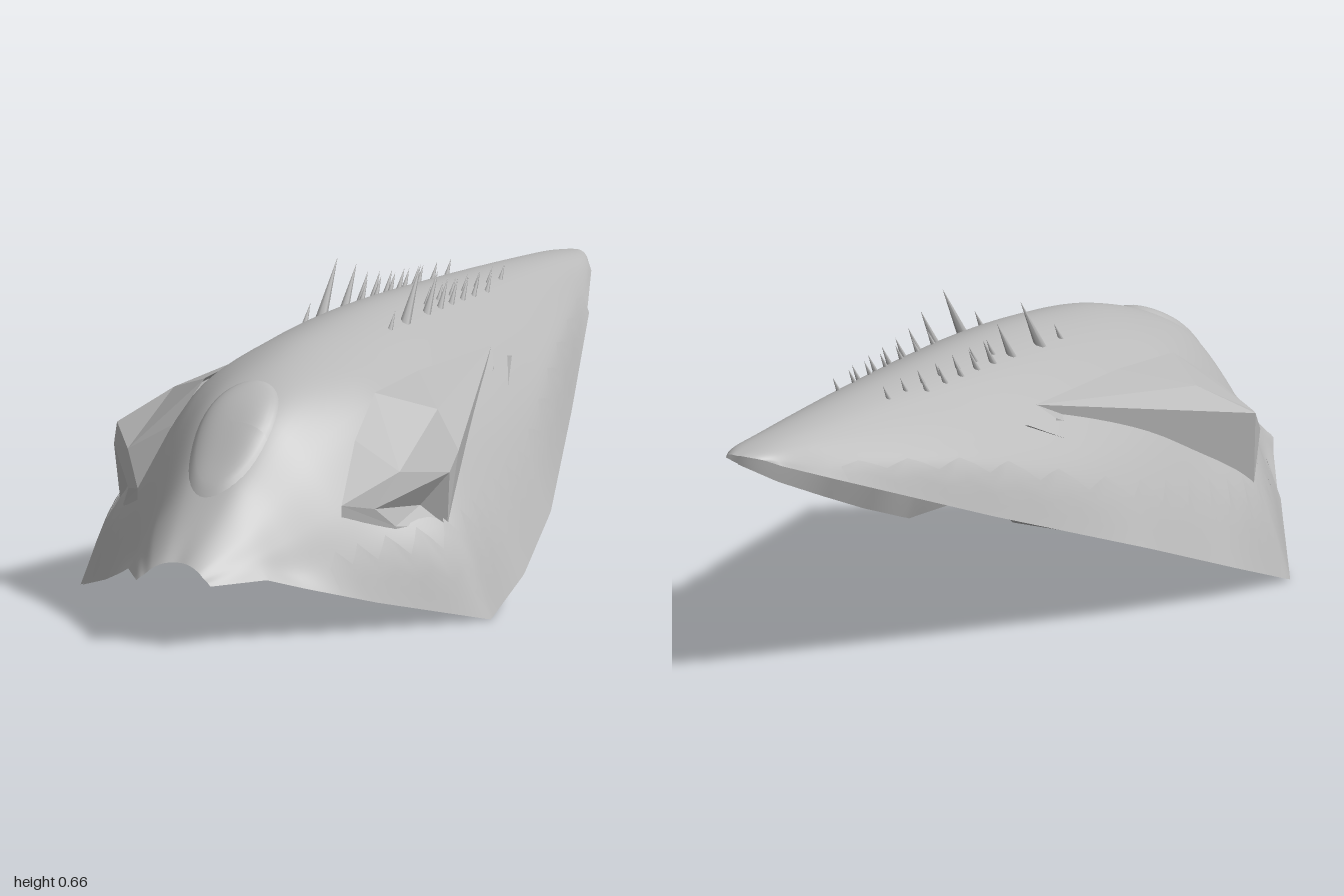
import * as THREE from 'three';

const grey = new THREE.MeshStandardMaterial({ color: 0xb8b8b8, side: THREE.DoubleSide });
grey.name = 'hull grey';

// Hull half sections from nose to tail: z, ridge y, then five x,y pairs out to the rim
const SECTIONS = [
  [1, .175, .03, .172, .055, .16, .07, .147, .08, .14, .087, .133],
  [.88, .262, .05, .255, .1, .22, .13, .18, .147, .155, .163, .133],
  [.8, .335, .06, .325, .12, .27, .165, .2, .195, .14, .22, .105],
  [.66, .462, .08, .445, .16, .37, .235, .26, .285, .16, .32, .06],
  [.44, .54, .1, .515, .2, .45, .3, .31, .4, .18, .477, 0],
  [.25, .565, .1, .54, .2, .47, .3, .36, .395, .21, .465, .065],
  [0, .578, .1, .55, .2, .475, .3, .365, .355, .275, .41, .155],
  [-.4, .565, .07, .55, .13, .51, .19, .455, .235, .4, .27, .295],
  [-.8, .543, .04, .537, .07, .52, .09, .5, .108, .475, .125, .445],
  [-.93, .533, .025, .531, .042, .526, .055, .518, .064, .508, .072, .495],
  [-1, .524, .012, .524, .022, .522, .032, .519, .042, .515, .05, .51],
];

// Lengthwise curves for each column of the half section; the rim itself has straight edges
const columns = [0, 1, 2, 3, 4, 5].map(k => {
  const pts = SECTIONS.map(s => {
    const x = k ? s[2 * k] : 0, y = k ? s[2 * k + 1] : s[1];
    const z = s[0] === 1 ? .98 + .23 * x : s[0] === -1 ? -1 + 16 * x * x : s[0];
    return new THREE.Vector3(x, y, z);
  });
  if (k < 5) return new THREE.CatmullRomCurve3(pts);
  return {
    getPoint(v) {
      const f = v * (pts.length - 1), i = Math.min(Math.floor(f), pts.length - 2);
      return pts[i].clone().lerp(pts[i + 1], f - i);
    },
  };
});

// Full cross curve at lengthwise position v (0 nose, 1 tail)
function crossCurve(v) {
  const half = columns.map(c => c.getPoint(v));
  const mirrored = half.slice(1).reverse().map(p => new THREE.Vector3(-p.x, p.y, p.z));
  return new THREE.CatmullRomCurve3([...mirrored, ...half]);
}
const hullPoint = (u, v) => crossCurve(v).getPoint((u + 1) / 2);

function bisect(test) {
  let a = 0, b = 1;
  for (let i = 0; i < 22; i++) {
    const m = (a + b) / 2;
    if (test(m)) a = m; else b = m;
  }
  return (a + b) / 2;
}
const vAtZ = z => bisect(v => columns[0].getPoint(v).z > z);
function hullY(x, z) {
  const curve = crossCurve(vAtZ(z));
  return curve.getPoint(bisect(t => curve.getPoint(t).x < x)).y;
}

// Smooth grid surface from fn(i / rows, j / cols)
function gridSurface(rows, cols, fn) {
  const pos = [], index = [];
  for (let i = 0; i <= rows; i++) {
    for (let j = 0; j <= cols; j++) {
      pos.push(...fn(i / rows, j / cols).toArray());
      if (i < rows && j < cols) {
        const a = i * (cols + 1) + j, c = a + cols + 1;
        index.push(a, a + 1, c, a + 1, c + 1, c);
      }
    }
  }
  const g = new THREE.BufferGeometry();
  g.setAttribute('position', new THREE.Float32BufferAttribute(pos, 3));
  g.setIndex(index);
  g.computeVertexNormals();
  return g;
}

// Flat faces from corner lists, each fanned into triangles
function facets(faces) {
  const pos = [];
  for (const f of faces)
    for (let i = 1; i < f.length - 1; i++) pos.push(...f[0], ...f[i], ...f[i + 1]);
  const g = new THREE.BufferGeometry();
  g.setAttribute('position', new THREE.Float32BufferAttribute(pos, 3));
  g.computeVertexNormals();
  return g;
}

export function createModel() {
  const model = new THREE.Group();
  const add = (name, geometry, parent = model) => {
    const mesh = new THREE.Mesh(geometry, grey);
    mesh.name = name;
    parent.add(mesh);
    return mesh;
  };

  // Open shell
  add('hullShell', gridSurface(100, 60, (v, t) => hullPoint(t * 2 - 1, v)));

  // Egg-shaped canopy on the front slope
  add('canopy', gridSurface(10, 40, (r, t) => {
    const a = t * Math.PI * 2, s = Math.sin(a);
    const x = .087 * r * Math.cos(a) * (1 - .12 * s), z = .71 + .14 * r * s;
    return new THREE.Vector3(x, hullY(x, z) - .003 + .015 * Math.sqrt(1 - r ** 4), z);
  }));

  for (const side of [1, -1]) {
    const label = side > 0 ? 'left' : 'right';
    const addFaces = (name, faces) => add(name, facets(side > 0 ? faces
      : faces.map(f => f.map(([x, y, z]) => [-x, y, z]).reverse())));

    // Wedge pod with a slanted intake
    const rear = [.21, .475, -.14], rearLow = [.235, .44, -.1];
    const in1 = [.2, .477, .2], in2 = [.2, .465, .42], in3 = [.215, .385, .55], tip = [.24, .265, .67];
    const mid = [.31, .425, .34], top = [.402, .357, .43], brow = [.32, .325, .55];
    const A = [.395, .315, .46], B = [.29, .252, .61], C = [.32, .21, .57], D = [.385, .195, .45];
    const deep = [.34, .245, .49];
    const drop = ([x, y, z]) => [x, Math.min(y, hullY(x, z)) - .01, z];
    addFaces(label + 'PodBody', [
      [rear, in1, mid], [in1, in2, mid], [rear, mid, top], [mid, in2, brow], [mid, brow, top],
      [in2, in3, brow], [in3, tip, brow], [top, brow, A], [brow, B, A], [brow, tip, B],
      [rear, top, D], [rear, D, rearLow], [top, A, D],
      [tip, drop(tip), drop(C), C], [tip, C, B], [C, drop(C), drop(D), D],
      [rearLow, D, drop(D), drop(rearLow)],
    ]);
    addFaces(label + 'PodIntake', [[A, B, deep], [B, C, deep], [C, D, deep], [D, A, deep]]);

    // Jagged skirt laid over the rim
    const from = vAtZ(.74), to = vAtZ(-.78), teeth = 17;
    add(label + 'JaggedSkirt', gridSurface(teeth * 4, 4, (r, t) => {
      const v = from + (to - from) * r, saw = Math.abs((r * teeth) % 1 - .5) * 2;
      const u = 1 - t * (.25 - .08 * saw);
      const p = hullPoint(side * u, v);
      p.x += side * .006;
      p.y += .003 * t;
      return p;
    }));

    // Two rows of backward-leaning spines
    const spines = new THREE.Group();
    spines.name = label + 'Spines';
    model.add(spines);
    const spine = (x, z, h) => {
      const g = new THREE.ConeGeometry(.005 + h * .06, h + .02, 6);
      g.translate(0, h / 2 - .01, 0);
      const m = add('spine', g, spines);
      m.position.set(side * x, hullY(x, z), z);
      m.rotation.x = -.6;
    };
    [[.13, .045], [.05, .135], [-.06, .1], [-.13, .07], [-.19, .06], [-.25, .055], [-.31, .05], [-.38, .045]]
      .forEach(([z, h], i) => spine(.1 - i * .002, z, h));
    for (let i = 0; i < 7; i++) spine(.075 - i * .002, -.1 - i * .066, .045 - i * .001);
  }

  // Inner ceiling: loft from the rear of the cabin down to a faceted front edge
  const ceiling = [
    [.4, .04, .19, .04, .25, .08, .38, .16],
    [.25, .15, .18, .155, .25, .18, .37, .23],
    [.05, .3, .16, .305, .24, .32, .325, .325],
    [-.2, .44, .1, .44, .18, .44, .23, .445],
  ].map(([z, y, ...s]) => {
    const half = [0, 2, 4].map(i => [s[i], s[i + 1], z]);
    return [...half.map(([x, h]) => [-x, h, z]).reverse(), [0, y, z], ...half];
  });
  const panels = [];
  for (let i = 0; i < ceiling.length - 1; i++)
    for (let j = 0; j < 6; j++)
      panels.push([ceiling[i][j], ceiling[i][j + 1], ceiling[i + 1][j + 1], ceiling[i + 1][j]]);
  add('innerCeiling', facets(panels));

  return model;
}
